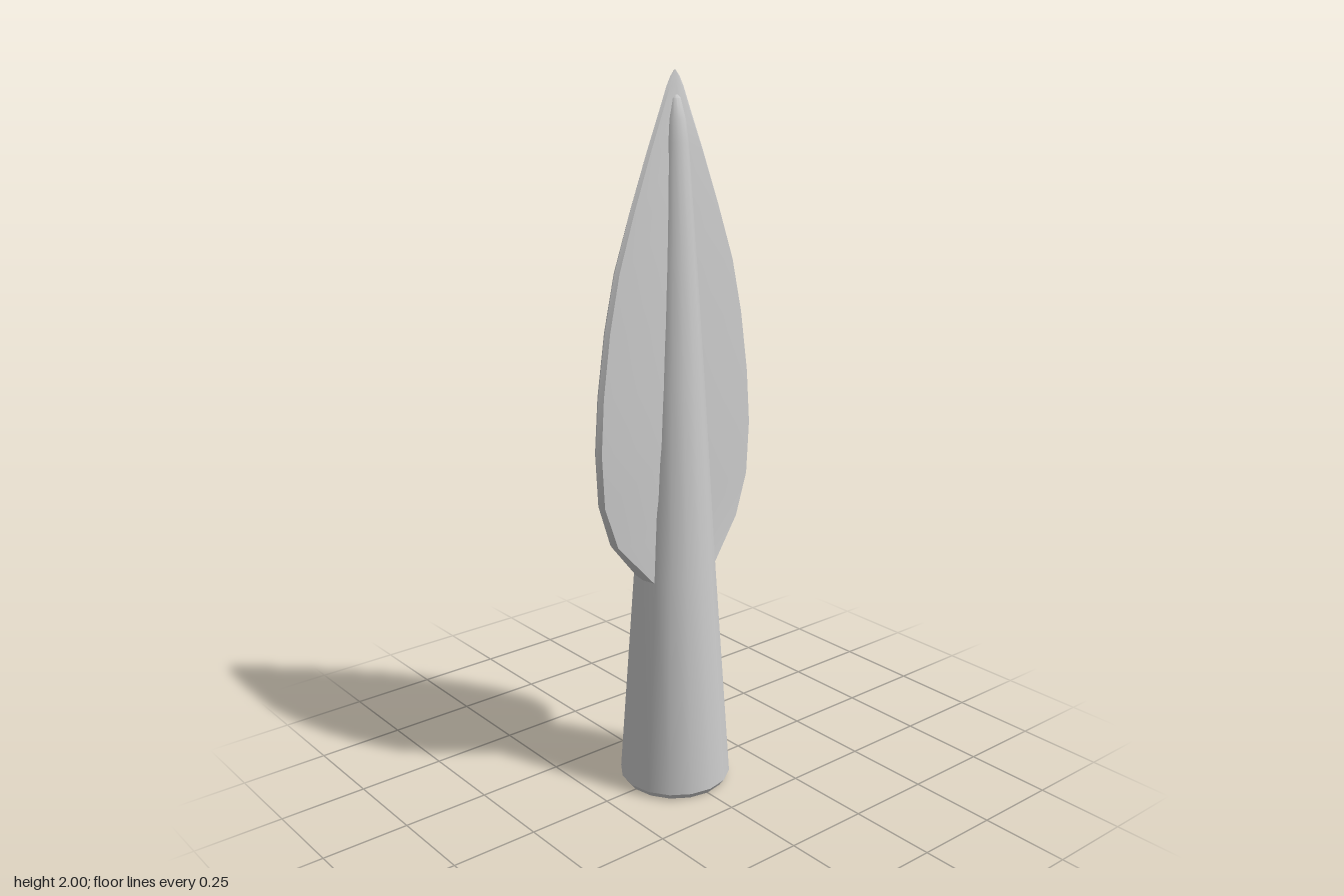
import * as THREE from 'three';
import { toCreasedNormals } from 'three/addons/utils/BufferGeometryUtils.js';

const metal = new THREE.MeshStandardMaterial({ color: 0xcccccc });

// Tapered 16-sided socket: inner bore, bevelled rim, outer cone, rounded nose
function socketGeometry() {
  const profile = [
    [0, 0.95], [0.128, 0.0], [0.146, 0.0], [0.159, 0.018],
    [0.115, 0.64], [0.08, 1.2], [0.058, 1.52], [0.036, 1.82],
    [0.028, 1.88], [0.015, 1.93], [0, 1.95],
  ].map(([r, y]) => new THREE.Vector2(r, y));
  return toCreasedNormals(new THREE.LatheGeometry(profile, 16), 0.5);
}

// Double-edged blade lofted from eight-point sections, thick at the centre
function bladeGeometry() {
  // height, half width, edge half thickness, centre half thickness
  const sections = [
    [0.635, 0.112, 0.042, 0.060],
    [0.76, 0.22, 0.018, 0.058],
    [0.88, 0.26, 0.015, 0.055],
    [1.03, 0.268, 0.015, 0.052],
    [1.18, 0.258, 0.014, 0.048],
    [1.35, 0.234, 0.013, 0.042],
    [1.50, 0.201, 0.012, 0.036],
    [1.65, 0.150, 0.010, 0.029],
    [1.80, 0.093, 0.008, 0.021],
    [1.90, 0.052, 0.006, 0.012],
    [1.96, 0.028, 0.004, 0.006],
    [1.985, 0.015, 0.003, 0.004],
    [2.0, 0.002, 0.002, 0.002],
  ];
  const positions = [], index = [], n = 8;
  for (const [y, w, t, c] of sections) {
    const s = w - Math.min(0.008, w * 0.3); // inner line of the edge bevel
    const ring = [[w, 0], [s, t], [0, c], [-s, t], [-w, 0], [-s, -t], [0, -c], [s, -t]];
    for (const [x, z] of ring) positions.push(x, y, z);
  }
  const last = (sections.length - 1) * n;
  for (let i = 0; i < last; i += n) {
    for (let j = 0; j < n; j++) {
      const a = i + j, b = i + (j + 1) % n;
      index.push(a, a + n, b, b, a + n, b + n);
    }
  }
  // End caps
  for (let j = 1; j < n - 1; j++) {
    index.push(0, j, j + 1, last, last + j + 1, last + j);
  }
  const geometry = new THREE.BufferGeometry();
  geometry.setAttribute('position', new THREE.Float32BufferAttribute(positions, 3));
  geometry.setIndex(index);
  return toCreasedNormals(geometry, 0.45);
}

export function createModel() {
  const group = new THREE.Group();
  group.name = 'spearhead';
  const add = (name, geometry) => {
    const mesh = new THREE.Mesh(geometry, metal);
    mesh.name = name;
    group.add(mesh);
  };
  add('socket', socketGeometry());
  add('blade', bladeGeometry());
  return group;
}
